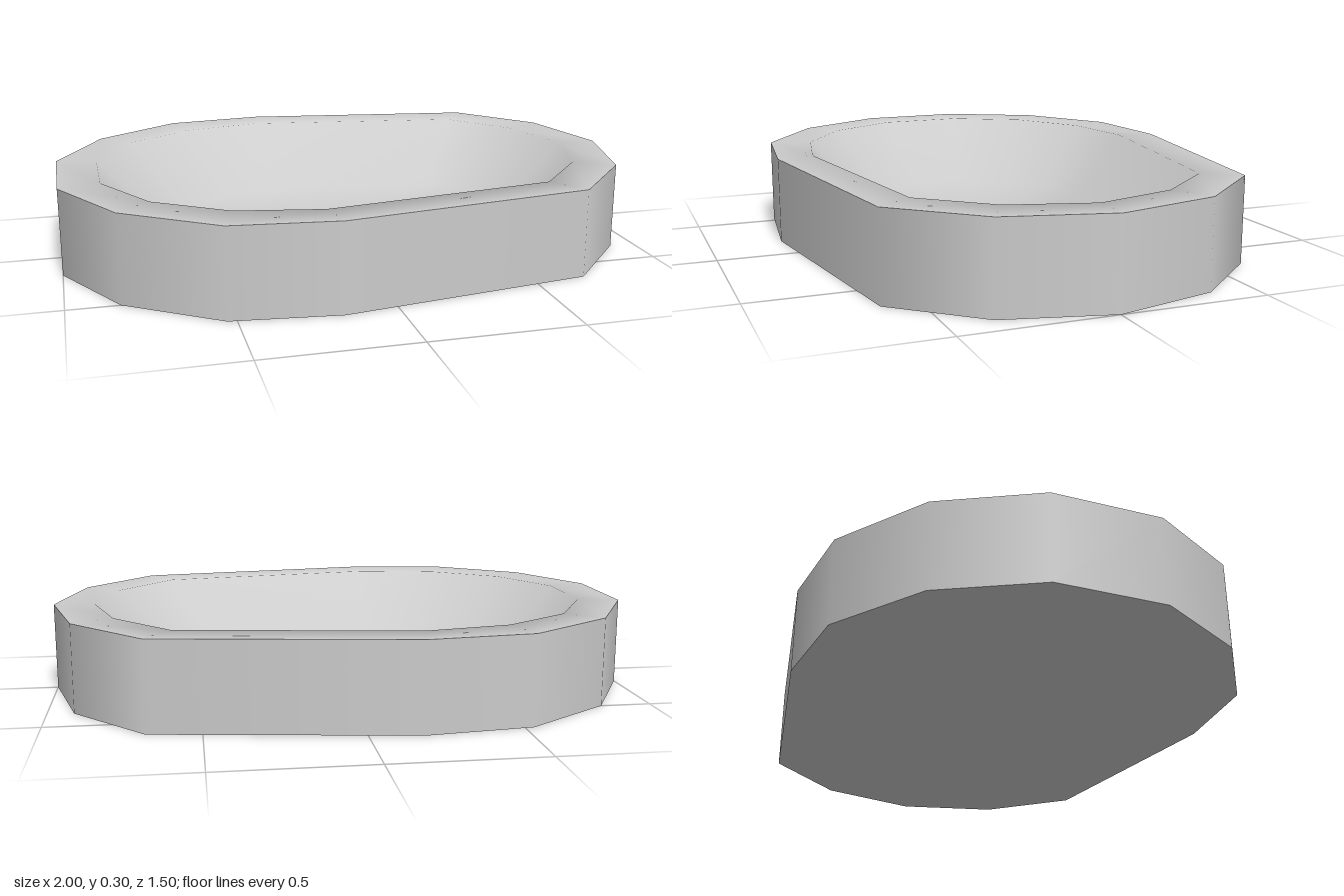
import * as THREE from 'three';

const HEIGHT = 0.3;

// Half outlines [x, z] from the right-hand tip round the front to the left end
const OUTER = [[1, 0], [0.912, 0.355], [0.675, 0.622], [-0.175, 0.75], [-0.53, 0.71], [-0.83, 0.5], [-1, 0.185]];
const INNER = [[0.86, 0], [0.78, 0.28], [0.59, 0.5], [-0.2, 0.62], [-0.485, 0.565], [-0.72, 0.405], [-0.86, 0.15]];
const FLOOR = [[0.64, 0], [0.59, 0.19], [0.45, 0.34], [-0.17, 0.42], [-0.37, 0.38], [-0.54, 0.27], [-0.64, 0.1]];

// Mirror a half outline across z into a closed loop at height y
const ring = (half, y) => [...half, ...half.slice(1).reverse().map(([x, z]) => [x, -z])].map(([x, z]) => [x, y, z]);

// Skin successive rings with shared vertices; a one-point ring closes to an apex
function loft(rings) {
  const index = [];
  const crossed = []; // opposite diagonals, used only to even out the normals
  let start = 0;
  for (let r = 0; r < rings.length - 1; r++) {
    const n = rings[r].length;
    const m = rings[r + 1].length;
    const next = start + n;
    for (let i = 0; i < Math.max(n, m); i++) {
      const a = start + (i % n), b = start + ((i + 1) % n);
      const c = next + (i % m), d = next + ((i + 1) % m);
      if (n > 1) index.push(a, c, b);
      if (m > 1) index.push(b, c, d);
      if (n > 1) crossed.push(a, d, b);
      if (m > 1) crossed.push(a, c, d);
    }
    start = next;
  }
  const geometry = new THREE.BufferGeometry();
  geometry.setAttribute('position', new THREE.Float32BufferAttribute(rings.flat(2), 3));
  geometry.setIndex([...index, ...crossed]);
  geometry.computeVertexNormals();
  geometry.setIndex(index);
  return geometry;
}

export function createModel() {
  const group = new THREE.Group();
  group.name = 'basin';
  const material = new THREE.MeshStandardMaterial({ color: 0xcccccc });
  const add = (name, rings) => {
    const mesh = new THREE.Mesh(loft(rings), material);
    mesh.name = name;
    group.add(mesh);
  };

  // Upright outer wall and flat underside
  add('outerWall', [ring(OUTER, 0), ring(OUTER, HEIGHT)]);
  add('base', [[[0, 0, 0]], ring(OUTER, 0)]);

  // Flat rim, sloping bowl wall and nearly flat bowl floor
  add('rimAndBowl', [ring(OUTER, HEIGHT), ring(INNER, HEIGHT), ring(FLOOR, 0.07), [[0, 0.06, 0]]]);

  return group;
}
